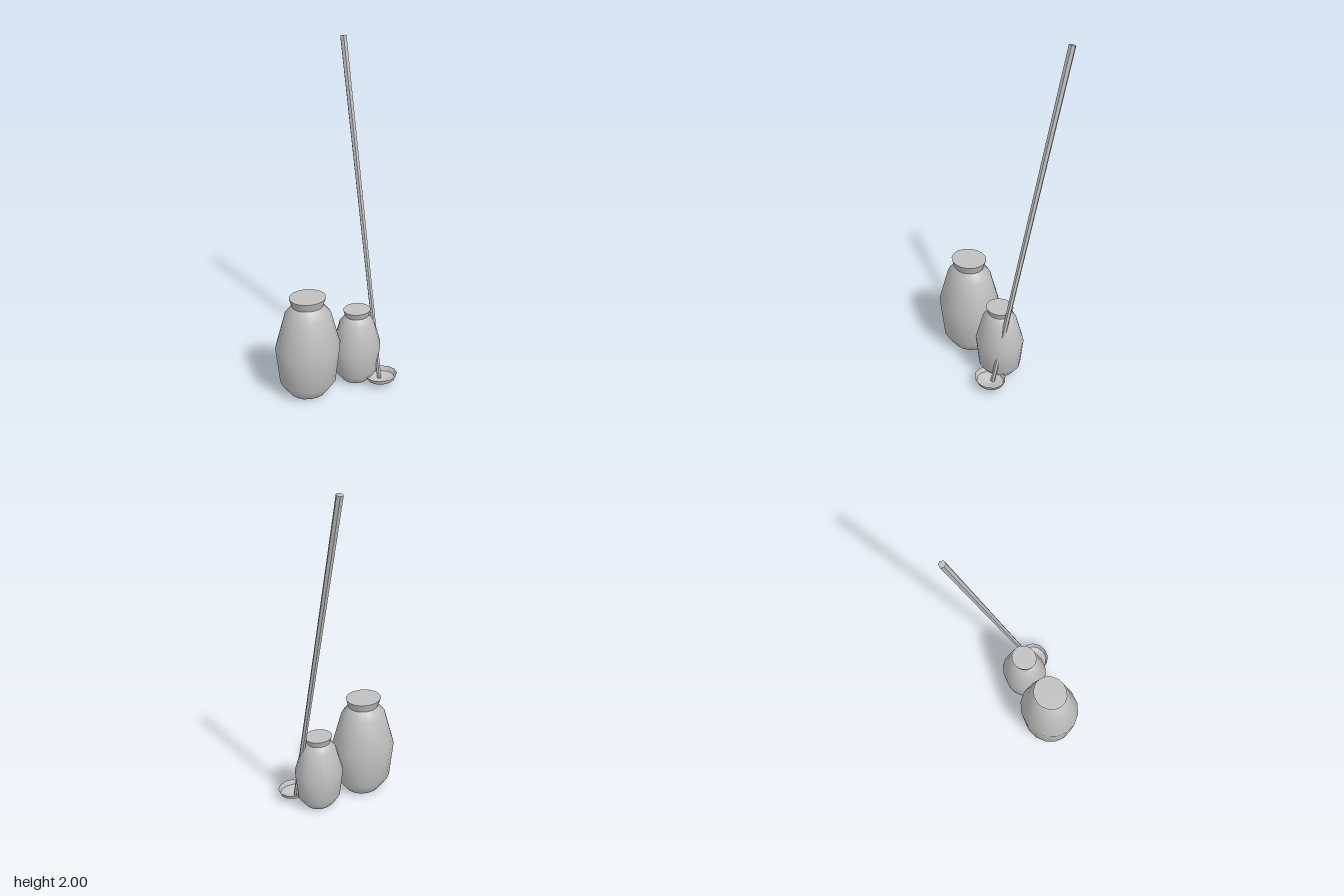
import * as THREE from 'three';

export function createModel() {
  const model = new THREE.Group();
  const clay = new THREE.MeshStandardMaterial({ color: 0xc0c0c0 });
  clay.name = 'grey clay';
  const wood = clay.clone();
  wood.name = 'grey wood';
  wood.flatShading = true;
  const shell = clay.clone();
  shell.name = 'grey shell';
  shell.flatShading = true;
  shell.side = THREE.DoubleSide;

  const add = (parent, name, geometry, material) => {
    const mesh = new THREE.Mesh(geometry, material);
    mesh.name = name;
    parent.add(mesh);
    return mesh;
  };
  const lathe = (points, sides) =>
    new THREE.LatheGeometry(points.map(([r, y]) => new THREE.Vector2(r, y)), sides);

  // Slightly oval jar: rounded body, flared neck with lid, flat base
  function jar(name, x, z, width, height) {
    const group = new THREE.Group();
    group.name = name;
    add(group, 'jarBody', lathe([
      [0.11, 0], [0.17, 0.08], [0.195, 0.305], [0.138, 0.51], [0.093, 0.565],
    ], 16), clay);
    const neck = new THREE.CylinderGeometry(0.109, 0.093, 0.05, 16);
    add(group, 'jarNeck', neck, clay).position.y = 0.59;
    add(group, 'jarBase', new THREE.CircleGeometry(0.11, 16).rotateX(Math.PI / 2), clay);
    group.position.set(x, 0, z);
    group.scale.set(width, height, width * 0.914);
    model.add(group);
  }
  jar('largeJar', -0.155, 0.041, 1, 1);
  jar('smallJar', 0.167, 0.071, 0.765, 0.748);

  // Shallow open dish at the foot of the pole
  const dish = add(model, 'dish', lathe([
    [0, 0.014], [0.085, 0.036], [0.098, 0.065],
  ], 12), shell);
  dish.position.set(0.252, 0, 0.213);
  dish.scale.z = 0.88;

  // Six-sided pole leaning back, narrower at the foot
  const foot = new THREE.Vector3(0.252, 0.026, 0.194);
  const tip = new THREE.Vector3(0.294, 1.996, -0.286);
  const along = tip.clone().sub(foot);
  const pole = add(model, 'pole',
    new THREE.CylinderGeometry(0.02, 0.0135, along.length(), 6).rotateY(Math.PI / 6), wood);
  pole.position.copy(foot).add(tip).multiplyScalar(0.5);
  pole.quaternion.setFromUnitVectors(new THREE.Vector3(0, 1, 0), along.normalize());

  return model;
}
